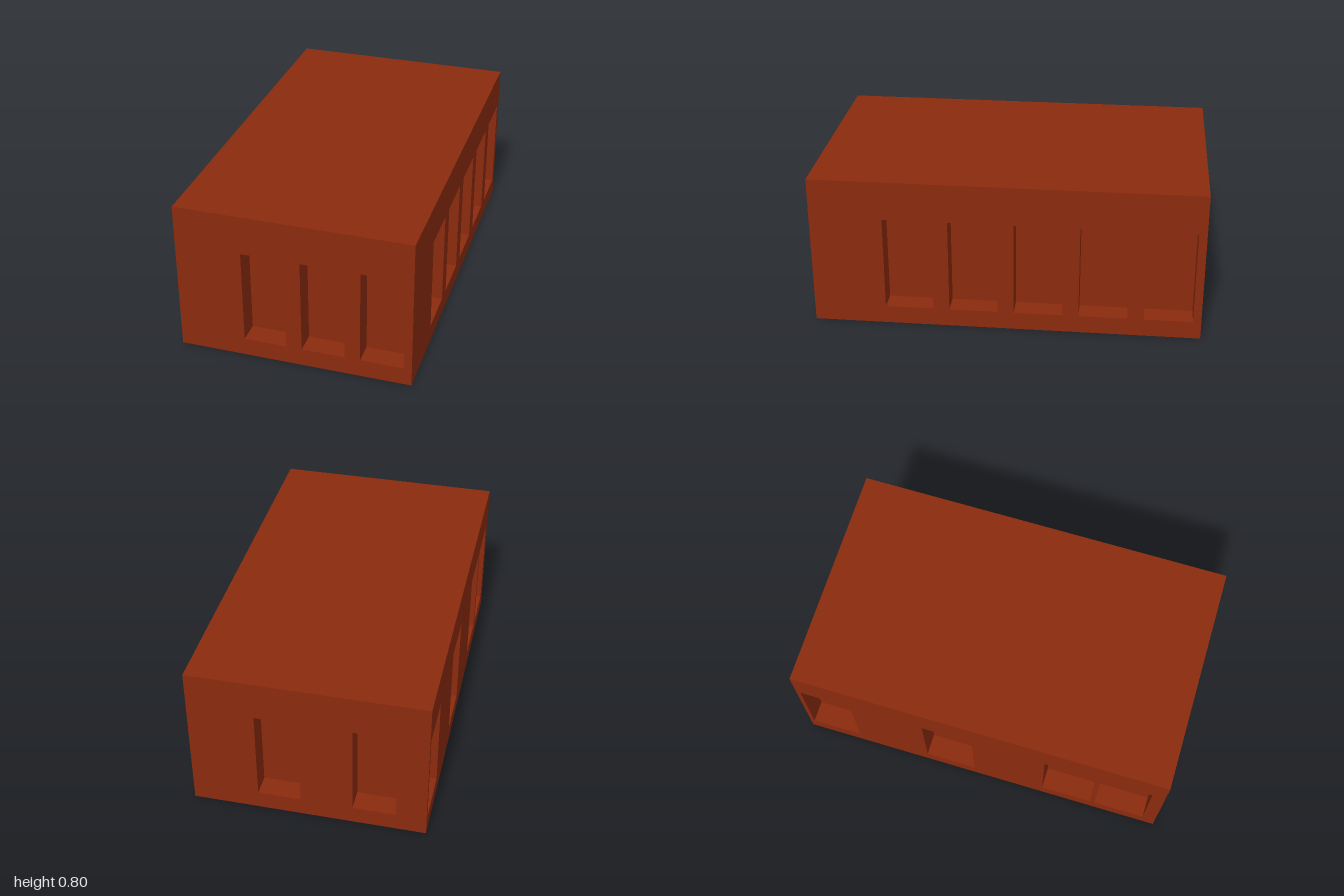
import * as THREE from 'three';

const W = 1.2, H = 0.8, L = 2;           // overall block
const SILL = 0.095, HEAD = 0.595;        // window bottom and top
const DEPTH = 0.113;                     // how far windows are set back

const brick = new THREE.MeshStandardMaterial({ color: 0x8b2a0e, flatShading: true });

// Open-fronted box seen from within: reveals, sill, head and back panel
function recessGeometry(width, height) {
  const box = new THREE.BoxGeometry(width, height, DEPTH);
  const index = Array.from(box.index.array);
  index.splice(24, 6);                   // drop the outward opening
  box.setIndex(index.reverse());         // turn faces inwards
  box.clearGroups();
  const geometry = box.toNonIndexed();
  geometry.computeVertexNormals();
  return geometry;
}

// A wall in its own plane: u runs to the right as seen from outside
function makeWall(name, length, windowWidth, centres) {
  const wall = new THREE.Group();
  wall.name = name;
  const shape = new THREE.Shape([
    new THREE.Vector2(-length / 2, 0), new THREE.Vector2(length / 2, 0),
    new THREE.Vector2(length / 2, H), new THREE.Vector2(-length / 2, H),
  ]);
  for (const u of centres) {
    const a = u - windowWidth / 2, b = u + windowWidth / 2;
    shape.holes.push(new THREE.Path([
      new THREE.Vector2(a, SILL), new THREE.Vector2(a, HEAD),
      new THREE.Vector2(b, HEAD), new THREE.Vector2(b, SILL),
    ]));
    const recess = new THREE.Mesh(recessGeometry(windowWidth, HEAD - SILL), brick);
    recess.name = 'windowRecess';
    recess.position.set(u, (SILL + HEAD) / 2, -DEPTH / 2);
    wall.add(recess);
  }
  const face = new THREE.Mesh(new THREE.ShapeGeometry(shape), brick);
  face.name = 'wallFace';
  wall.add(face);
  return wall;
}

export function createModel() {
  const model = new THREE.Group();
  model.name = 'building';

  // Walls: name, length, window width, window centres, turn, distance from middle
  const walls = [
    ['frontWall', W, 0.22, [-0.15, 0.15, 0.45], 0, L / 2],
    ['leftWall', L, 0.25, [-0.5, -0.167, 0.167, 0.5, 0.833], Math.PI / 2, W / 2],
    ['backWall', W, 0.22, [-0.15, 0.336], Math.PI, L / 2],
    ['rightWall', L, 0.273, [-0.84, -0.17, 0.495, 0.795], -Math.PI / 2, W / 2],
  ];
  for (const [name, length, width, centres, turn, distance] of walls) {
    const wall = makeWall(name, length, width, centres);
    wall.rotation.y = turn;
    wall.position.set(Math.sin(turn) * distance, 0, Math.cos(turn) * distance);
    model.add(wall);
  }

  // Flat roof and underside
  for (const [name, y, tilt] of [['roof', H, -Math.PI / 2], ['base', 0, Math.PI / 2]]) {
    const slab = new THREE.Mesh(new THREE.PlaneGeometry(W, L), brick);
    slab.name = name;
    slab.rotation.x = tilt;
    slab.position.y = y;
    model.add(slab);
  }
  return model;
}
